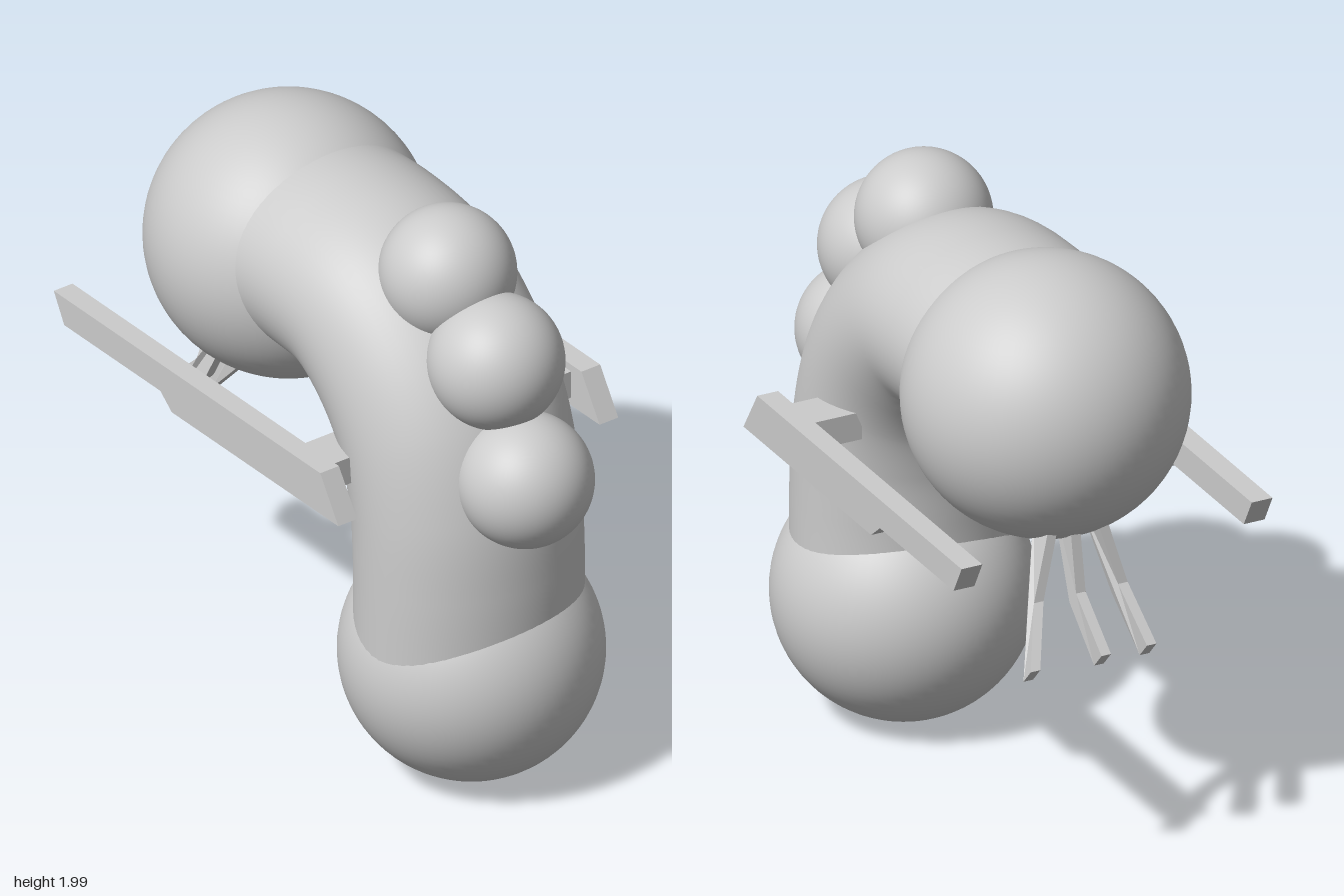
import * as THREE from 'three';

const material = new THREE.MeshStandardMaterial({ color: 0xcccccc });

function add(group, name, geometry, x = 0, y = 0, z = 0) {
  const mesh = new THREE.Mesh(geometry, material);
  mesh.name = name;
  mesh.position.set(x, y, z);
  group.add(mesh);
  return mesh;
}

const ball = (r) => new THREE.SphereGeometry(r, 64, 40);

// Side outline given as [z, y] pairs, extruded along x and centred on x = 0
function sidePlate(outline, width) {
  const shape = new THREE.Shape(outline.map(([z, y]) => new THREE.Vector2(-z, y)));
  return new THREE.ExtrudeGeometry(shape, { depth: width, bevelEnabled: false })
    .translate(0, 0, -width / 2)
    .rotateY(Math.PI / 2);
}

// Finger plate whose x drifts from base to knee to tip
function fingerGeometry(base, knee, tip) {
  const geometry = sidePlate([
    [-0.61, 1.24], [-0.735, 0.91], [-0.885, 0.75],
    [-0.935, 0.805], [-0.78, 0.96], [-0.73, 1.24],
  ], 0.034);
  const pos = geometry.attributes.position;
  for (let i = 0; i < pos.count; i++) {
    const y = pos.getY(i);
    const shift = y > 1 ? base : y > 0.85 ? knee : tip;
    pos.setX(i, pos.getX(i) + shift);
  }
  geometry.computeVertexNormals();
  return geometry;
}

export function createModel() {
  const model = new THREE.Group();
  model.name = 'model';

  // Base and head
  add(model, 'base', ball(0.426), 0.007, 0.435, 0.46);
  add(model, 'head', ball(0.462), -0.013, 1.522, -0.475);

  // Bent body, an oval tube
  const spine = new THREE.CatmullRomCurve3([
    [0.475, 0.5], [0.475, 0.8], [0.455, 1.03], [0.385, 1.26],
    [0.255, 1.44], [0.08, 1.565], [-0.12, 1.595], [-0.35, 1.585],
  ].map(([z, y]) => new THREE.Vector3(0, y, z)));
  const tube = new THREE.TubeGeometry(spine, 64, 0.332, 64);
  tube.scale(0.385 / 0.332, 1, 1);
  add(model, 'body', tube, -0.015);

  // Bumps along the back
  [[1.21, 0.77], [1.573, 0.615], [1.78, 0.362]].forEach(([y, z], i) => {
    add(model, `bump${i + 1}`, ball(0.221), -0.014, y, z);
  });

  // Side rails with their mounts
  const railOutline = [
    [0.41, 1.255], [0.505, 1.105], [-0.37, 1.105],
    [-0.43, 1.155], [-0.935, 1.155], [-0.99, 1.255],
  ];
  for (const [side, name] of [[1, 'left'], [-1, 'right']]) {
    add(model, `${name}Rail`, sidePlate(railOutline, 0.074), side * 0.517);
    add(model, `${name}Mount`, new THREE.BoxGeometry(0.2, 0.096, 0.156), side * 0.39, 1.182, 0.278);
  }

  // Three fingers hanging under the head
  [[0.08, 0.17, 0.262], [0.02, 0.02, 0.01], [-0.06, -0.13, -0.152]].forEach((drift, i) => {
    add(model, `finger${i + 1}`, fingerGeometry(...drift));
  });

  return model;
}
